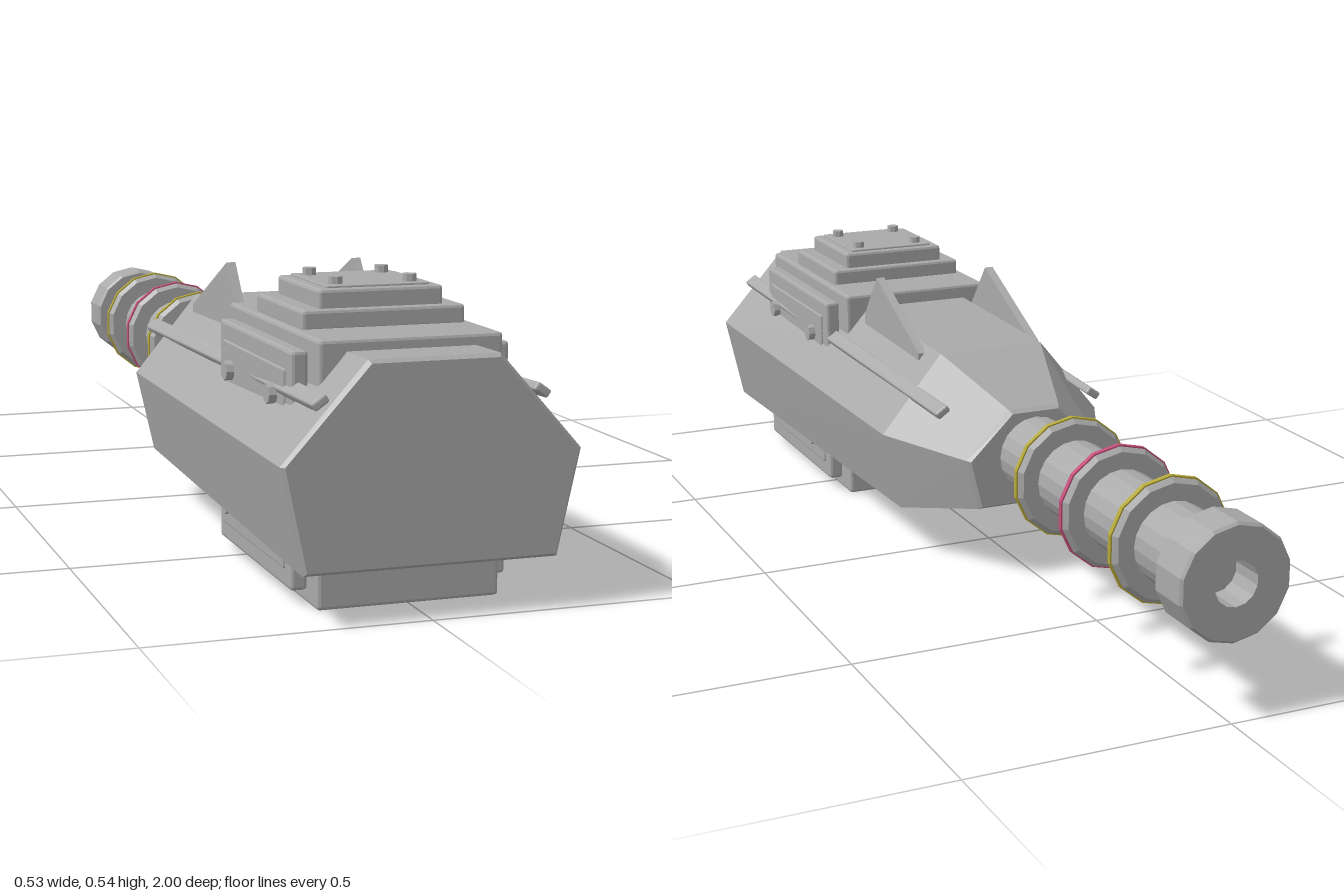
import * as THREE from 'three';
import { RoundedBoxGeometry } from 'three/addons/geometries/RoundedBoxGeometry.js';

const makeMaterial = (name, color) => {
  const m = new THREE.MeshStandardMaterial({ color, flatShading: true });
  m.name = name;
  return m;
};

// Closed loft through rings of points listed counter-clockwise as seen from +z, front to back
function loft(rings) {
  const n = rings[0].length, last = (rings.length - 1) * n, index = [];
  for (let i = 0; i < rings.length - 1; i++) {
    for (let j = 0; j < n; j++) {
      const a = i * n + j, b = i * n + (j + 1) % n;
      index.push(a, a + n, b + n, a, b + n, b);
    }
  }
  for (let j = 1; j < n - 1; j++) {
    index.push(0, j, j + 1, last, last + j + 1, last + j);
  }
  const g = new THREE.BufferGeometry();
  g.setAttribute('position', new THREE.Float32BufferAttribute(rings.flat(2), 3));
  g.setIndex(index);
  g.computeVertexNormals();
  return g;
}

// Six-sided hull section: top, middle and bottom half widths with their heights
const section = (z, xt, yt, xm, ym, xb, yb) => [
  [xm, ym, z], [xt, yt, z], [-xt, yt, z], [-xm, ym, z], [-xb, yb, z], [xb, yb, z],
];

// Turned part lying along z; each point is [radius, distance towards -z]
const turned = (points, sides) =>
  new THREE.LatheGeometry(points.map(([r, d]) => new THREE.Vector2(r, d)), sides).rotateX(-Math.PI / 2);

export function createModel() {
  const model = new THREE.Group();
  model.name = 'gunTurretBarrel';
  const grey = makeMaterial('metalGrey', 0xaaaaaa);
  const yellow = makeMaterial('bandYellow', 0xb5a83a);
  const pink = makeMaterial('bandPink', 0xc4507c);

  const add = (name, geometry, x = 0, y = 0, z = 0, material = grey) => {
    const mesh = new THREE.Mesh(geometry, material);
    mesh.name = name;
    mesh.position.set(x, y, z);
    model.add(mesh);
    return mesh;
  };
  // Chamfered box given by its limits
  const block = (name, x0, x1, y0, y1, z0, z1, bevel = 0.006) =>
    add(name, new RoundedBoxGeometry(x1 - x0, y1 - y0, z1 - z0, 1, bevel),
      (x0 + x1) / 2, (y0 + y1) / 2, (z0 + z1) / 2);

  // Tapered hull
  add('hull', loft([
    section(1, 0.112, 0.436, 0.258, 0.275, 0.22, 0.098),
    section(0.992, 0.116, 0.442, 0.265, 0.275, 0.225, 0.092),
    section(-0.01, 0.113, 0.423, 0.242, 0.266, 0.205, 0.104),
    section(-0.215, 0.055, 0.352, 0.147, 0.258, 0.122, 0.154),
    section(-0.225, 0.05, 0.345, 0.14, 0.257, 0.116, 0.16),
  ]));

  // Block passing through the hull, and a shallow keel
  block('breechBlock', -0.165, 0.165, 0.002, 0.46, 0.395, 0.895);
  add('keel', loft([0.93, 0.38].map((z) => [[0.06, 0.094, z], [-0.06, 0.094, z], [0, 0.079, z]])));

  // Stepped hatch with corner bolts
  block('hatchBase', -0.15, 0.15, 0.455, 0.492, 0.512, 0.768);
  block('hatchStep', -0.115, 0.115, 0.485, 0.525, 0.528, 0.752);
  block('hatchLid', -0.095, 0.095, 0.52, 0.529, 0.543, 0.737, 0.002);
  for (const x of [-0.069, 0.069]) {
    for (const z of [0.572, 0.708]) {
      add('hatchBolt', new THREE.CylinderGeometry(0.013, 0.013, 0.02, 8), x, 0.532, z);
    }
  }

  for (const s of [-1, 1]) {
    // Side plates with a raised panel and bolts
    const sidePlate = (name, a, b, ...rest) =>
      block(name, Math.min(s * a, s * b), Math.max(s * a, s * b), ...rest);
    sidePlate('sidePlate', 0.167, 0.197, 0.027, 0.437, 0.44, 0.85);
    sidePlate('sidePanel', 0.18, 0.201, 0.06, 0.403, 0.47, 0.82, 0.003);
    for (const z of [0.525, 0.77]) {
      for (const y of [0.106, 0.354]) {
        const bolt = new THREE.CylinderGeometry(0.018, 0.018, 0.025, 8).rotateZ(Math.PI / 2);
        add('sideBolt', bolt, s * 0.203, y, z);
      }
    }

    // Triangular sight fin
    const fin = new THREE.Shape();
    fin.moveTo(-0.36, 0.39);
    fin.lineTo(-0.05, 0.39);
    fin.lineTo(-0.05, 0.411);
    fin.lineTo(-0.285, 0.522);
    fin.lineTo(-0.36, 0.425);
    const finGeometry = new THREE.ExtrudeGeometry(fin, { depth: 0.018, bevelEnabled: false })
      .translate(0, 0, -0.009).rotateY(Math.PI / 2);
    add('sightFin', finGeometry, s * 0.128, 0, 0);

    // Long slanted rail on the upper side face
    const from = new THREE.Vector3(s * 0.195, 0.375, 0.99);
    const to = new THREE.Vector3(s * 0.167, 0.342, -0.15);
    const railGeometry = new RoundedBoxGeometry(0.03, 0.016, from.distanceTo(to), 1, 0.004)
      .rotateZ(-s * 0.6);
    const rail = add('sideRail', railGeometry);
    rail.position.copy(from).add(to).multiplyScalar(0.5);
    rail.lookAt(from);
  }

  // Barrel with a hollow muzzle
  const axis = 0.257;
  add('barrel', turned([[0.077, 0.2], [0.077, 0.92]], 20), 0, axis);
  add('muzzle', turned([
    [0.07, 0.91], [0.104, 0.91], [0.109, 0.915], [0.109, 0.995], [0.104, 1],
    [0.042, 1], [0.042, 0.93], [0, 0.93],
  ], 14), 0, axis);

  // Barrel rings, each with a coloured band around its rim
  [[0.383, yellow], [0.575, pink], [0.768, yellow]].forEach(([d, color]) => {
    add('barrelRing', turned([
      [0.07, -0.015], [0.11, -0.015], [0.118, -0.007], [0.118, 0.007], [0.11, 0.015], [0.07, 0.015],
    ], 14), 0, axis, -d);
    add('ringBand', turned([
      [0.11, -0.005], [0.121, -0.005], [0.121, 0.005], [0.11, 0.005],
    ], 14), 0, axis, -d, color);
  });

  return model;
}
